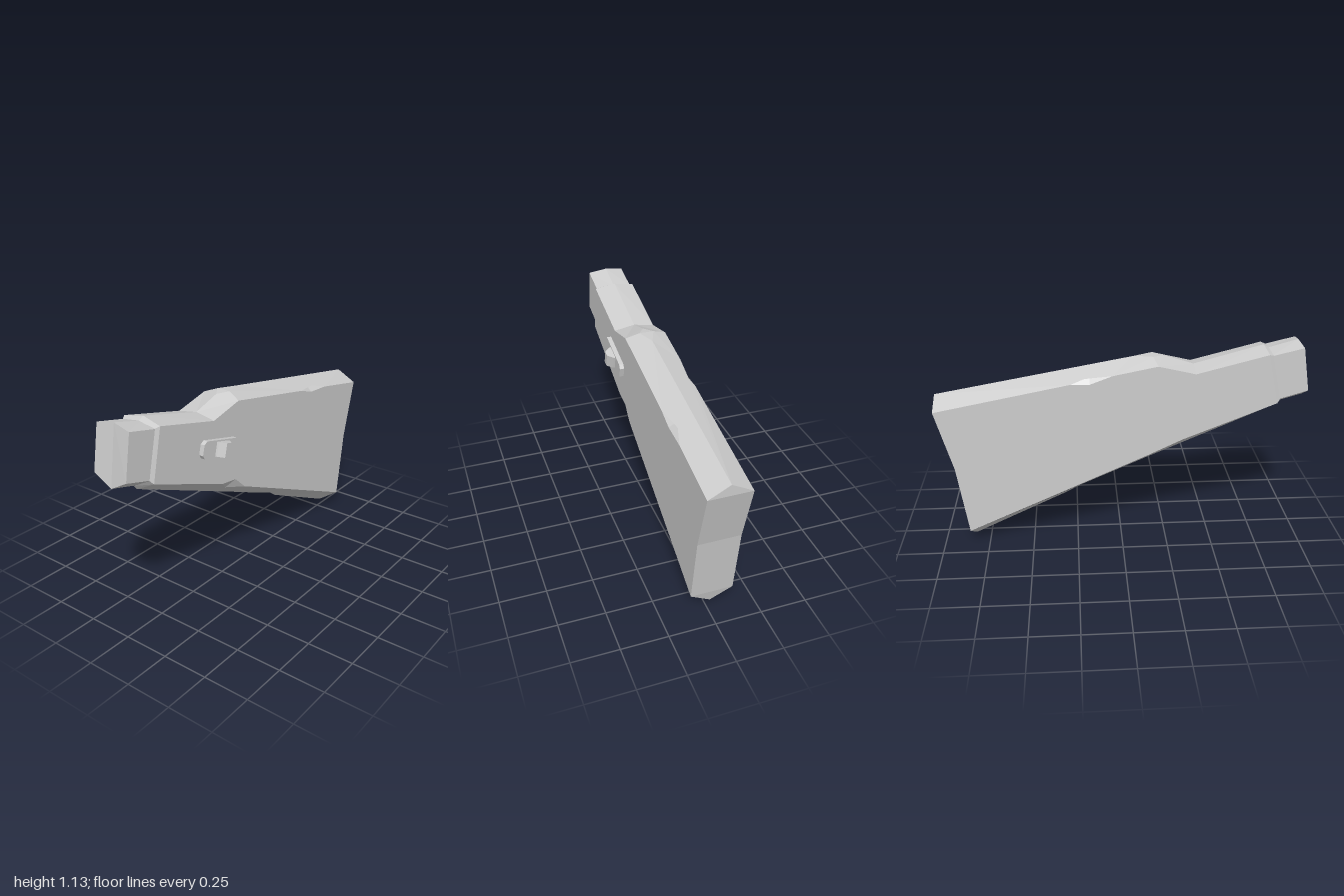
import * as THREE from 'three';

const MID = -0.035, L = -0.15, R = 0.08;
const at = (x, pts) => pts.map(([z, y]) => [x, y, z]);

function material() {
  return new THREE.MeshStandardMaterial({ color: 0xcccccc, flatShading: true });
}

// Collects triangles, turning each one to face the given outward direction
class Faces {
  constructor() { this.data = []; }
  tri(a, b, c, out) {
    const [p, q, r] = [a, b, c].map(v => new THREE.Vector3(...v));
    const n = q.sub(p).cross(r.sub(p));
    if (n.lengthSq() < 1e-14) return;
    if (n.dot(new THREE.Vector3(...out)) < 0) this.data.push(...a, ...c, ...b);
    else this.data.push(...a, ...b, ...c);
  }
  // Joins two polylines, advancing along whichever lags on the given axis
  zip(p, q, axis, out) {
    let i = 0, j = 0;
    const s = Math.sign(p[p.length - 1][axis] - p[0][axis]);
    while (i < p.length - 1 || j < q.length - 1) {
      const stepP = j === q.length - 1 ||
        (i < p.length - 1 && s * p[i + 1][axis] <= s * q[j + 1][axis]);
      if (stepP) { this.tri(p[i], p[i + 1], q[j], out); i++; }
      else { this.tri(p[i], q[j + 1], q[j], out); j++; }
    }
  }
  // Flat side wall from its outline
  wall(outline, out) {
    const flat = outline.map(p => new THREE.Vector2(p[2], p[1]));
    for (const t of THREE.ShapeUtils.triangulateShape(flat, []))
      this.tri(...t.map(k => outline[k]), out);
  }
  // Notch: corners a, b, c with an inner point p
  notch(a, b, c, p, out) {
    this.tri(a, b, p, out);
    this.tri(b, c, p, out);
  }
  // Band between two rings
  band(r0, r1) {
    const all = [...r0, ...r1];
    const cy = all.reduce((s, p) => s + p[1], 0) / all.length;
    r0.forEach((a, i) => {
      const k = (i + 1) % r0.length;
      const out = [(a[0] + r0[k][0]) / 2 - MID, (a[1] + r0[k][1]) / 2 - cy, 0.02];
      this.tri(a, r0[k], r1[k], out);
      this.tri(a, r1[k], r1[i], out);
    });
  }
  mesh(name) {
    const g = new THREE.BufferGeometry();
    g.setAttribute('position', new THREE.Float32BufferAttribute(this.data, 3));
    g.computeVertexNormals();
    const m = new THREE.Mesh(g, material());
    m.name = name;
    return m;
  }
}

// Six-sided section: top ridge, right edges, bottom ridge, left edges
function section(l, r, [topRidge, top, bottom, bottomRidge]) {
  return [...at(MID, [topRidge]), ...at(r, [top, bottom]),
    ...at(MID, [bottomRidge]), ...at(l, [bottom, top])];
}

function buildStock() {
  const f = new Faces();
  const up = [0, 1, 0], down = [0, -1, 0];

  // Edge lines as [z, y], running from back to front
  const topR = at(R, [[-1, 0.805], [-0.65, 0.875], [-0.5, 0.885], [-0.4, 0.92],
    [0.19, 1.037], [0.39, 0.99], [0.775, 1.088]]);
  const topL = at(L, [[-1, 0.805], [-0.27, 0.947], [-0.17, 0.945], [-0.05, 0.99],
    [0.19, 1.037], [0.39, 0.99], [0.775, 1.088]]);
  const botR = at(R, [[-0.855, 0.08], [0.14, 0.525], [0.22, 0.6], [0.33, 0.615], [0.835, 0.815]]);
  const botL = at(L, [[-0.855, 0.08], [0.14, 0.525], [0.33, 0.615], [0.835, 0.815]]);
  const ridge = at(MID, [[-1, 0.867], [0.07, 1.06], [0.23, 1.06], [0.39, 1.01], [0.765, 1.11]]);
  const keel = at(MID, [[-0.835, 0.003], [-0.31, 0.25], [-0.23, 0.32], [-0.14, 0.335],
    [0.14, 0.457], [0.835, 0.755]]);

  // Inner points of the worn notches
  const nickR = [0.04, 0.916, -0.51], nickL = [-0.12, 0.978, -0.17];
  const nickB = [0.04, 0.555, 0.26];
  const ridgeSide = x => [x, 1.066, 0.17];
  const keelSide = x => [x, 0.32, -0.23];

  // Side walls
  for (const [top, bot, x, out] of [[topR, botR, R, 1], [topL, botL, L, -1]])
    f.wall([...top, ...[...bot].reverse(), [x, 0.47, -0.91]], [out, 0, 0]);

  // Sloped top and bottom faces
  const swap = (line, i, p) => line.map((v, k) => (k === i ? p : v));
  for (const [edge, x] of [[swap(topR, 2, nickR), 0.005], [swap(topL, 2, nickL), -0.075]])
    f.zip([...ridge.slice(0, 2), ridgeSide(x), ...ridge.slice(2)], edge, 2, up);
  for (const [edge, x] of [[swap(botR, 2, nickB), 0.02], [botL, -0.085]])
    f.zip(swap(keel, 2, keelSide(x)), edge, 2, down);

  // Notch faces
  f.notch(topR[1], topR[2], topR[3], nickR, [0.5, 1, 0]);
  f.notch(topL[1], topL[2], topL[3], nickL, [-0.5, 1, 0]);
  f.notch(botR[1], botR[2], botR[3], nickB, [0.5, -1, 0]);
  for (const x of [0.02, -0.085])
    f.notch(keel[1], keel[2], keel[3], keelSide(x), down);
  f.notch(ridge[1], ridgeSide(0.005), ridge[2], ridgeSide(-0.075), up);
  f.tri(ridge[1], ridgeSide(0.005), ridgeSide(-0.075), up);

  // Butt plate
  const butt = x => [ridge[0], ...at(x, [[-1, 0.805], [-0.91, 0.47], [-0.855, 0.08]]), keel[0]];
  f.zip(butt(L), butt(R), 1, [0, 0, -1]);

  // Bevelled front shoulder
  f.band(section(L, R, [[0.765, 1.11], [0.775, 1.088], [0.835, 0.815], [0.835, 0.755]]),
    section(-0.138, 0.068, [[0.795, 1.093], [0.797, 1.08], [0.852, 0.835], [0.855, 0.78]]));
  return f.mesh('stock');
}

function buildNeck() {
  const f = new Faces();
  const back = section(-0.138, 0.068, [[0.78, 1.09], [0.78, 1.075], [0.84, 0.833], [0.84, 0.777]]);
  const front = section(-0.138, 0.068, [[0.95, 1.136], [0.96, 1.118], [1, 0.88], [0.998, 0.822]]);
  f.band(back, front);
  for (let i = 1; i < 5; i++) f.tri(front[0], front[i], front[i + 1], [0, 0, 1]);
  return f.mesh('neck');
}

// Extrudes an outline of [a, b] points
function extrude(points, depth, name) {
  const shape = new THREE.Shape(points.map(p => new THREE.Vector2(...p)));
  const mesh = new THREE.Mesh(
    new THREE.ExtrudeGeometry(shape, { depth, bevelEnabled: false }), material());
  mesh.name = name;
  return mesh;
}

function buildSwitch() {
  const group = new THREE.Group();
  group.name = 'sideSwitch';
  // Backing plate with cut corners
  const a = 0.14, b = 0.046, c = 0.018;
  const plate = extrude([[-a + c, -b], [a - c, -b], [a, -b + c], [a, b - c],
    [a - c, b], [-a + c, b], [-a, b - c], [-a, -b + c]], 0.03, 'switchPlate');
  plate.rotation.y = Math.PI / 2;
  plate.position.x = -0.005;
  // Tapered slider knob
  const knob = extrude([[0, -0.05], [0.035, -0.045], [0.067, -0.018],
    [0.067, 0.018], [0.035, 0.045], [0, 0.05]].map(([x, z]) => [x, -z]), 0.076, 'switchKnob');
  knob.rotation.x = -Math.PI / 2;
  knob.position.set(0, -0.038, -0.005);
  group.add(plate, knob);
  group.position.set(R, 0.839, 0.367);
  group.rotation.x = -0.25;
  return group;
}

export function createModel() {
  const model = new THREE.Group();
  model.name = 'gunStock';
  model.add(buildStock(), buildNeck(), buildSwitch());
  return model;
}
